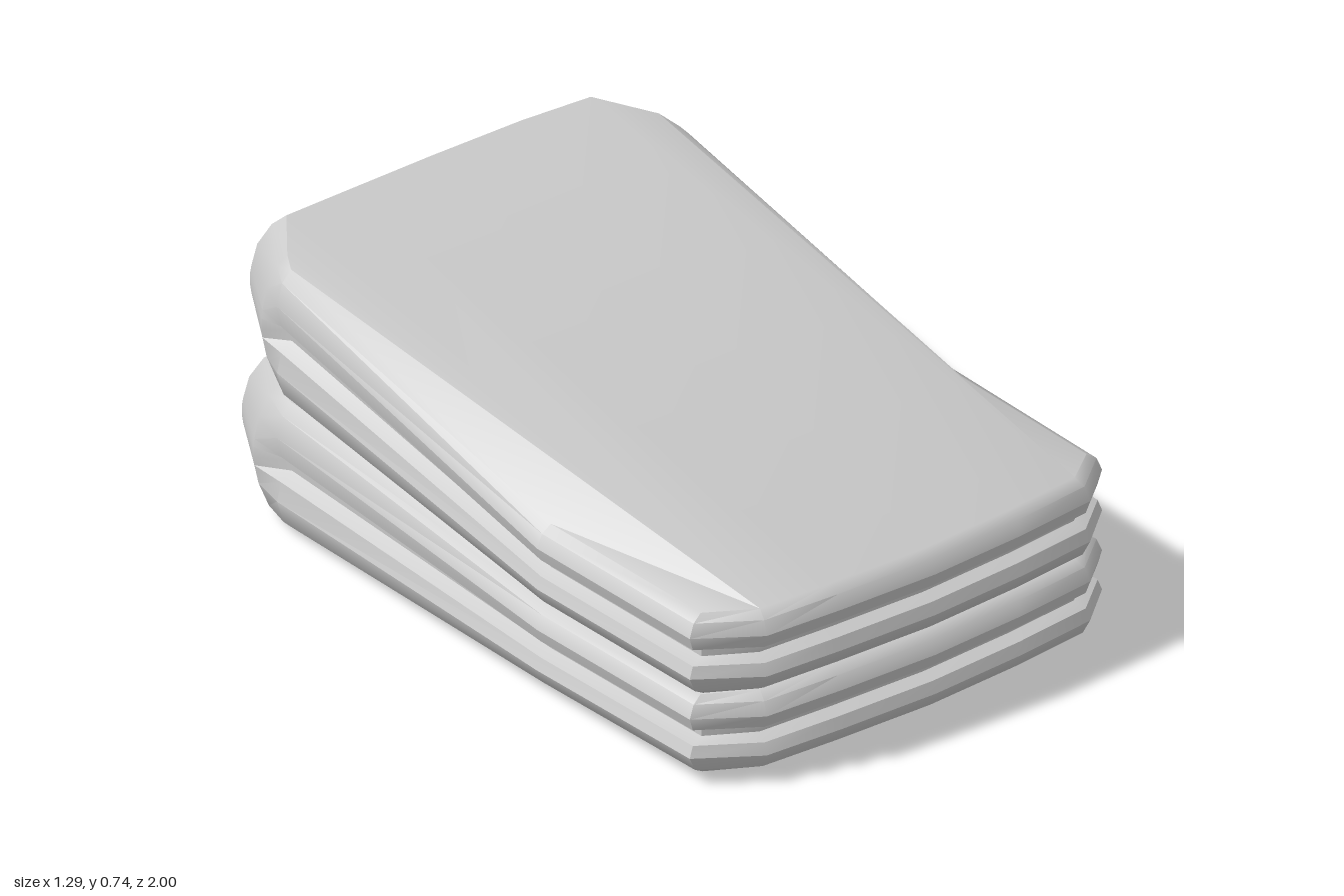
import * as THREE from 'three';
import { toCreasedNormals } from 'three/addons/utils/BufferGeometryUtils.js';

// Plan outline [x, z], each half running from front centre to back centre
const leftHalf = [[0, 1], [0.28, 0.985], [0.51, 0.96], [0.63, 0.86], [0.645, 0.3],
  [0.63, -0.66], [0.63, -0.77], [0.52, -0.955], [0.28, -0.995], [0, -1]];
const rightHalf = [[-0.28, 0.99], [-0.5, 0.975], [-0.65, 0.87], [-0.648, 0.3],
  [-0.62, -0.7], [-0.61, -0.8], [-0.5, -0.975], [-0.28, -0.998]];
const outline = [...leftHalf, ...rightHalf.reverse()];
const N = outline.length;
const half = N / 2;

// Edge profile: height fraction, inset where the two layers part, inset share at the rounded fold
const profile = [
  [0, 0.05, 1], [0.08, 0.02, 0.6], [0.26, 0, 0.2], [0.4, 0.012, 0.04], [0.46, 0.045, 0],
  [0.54, 0.045, 0], [0.6, 0.012, 0.04], [0.76, 0, 0.2], [0.92, 0.015, 0.6], [1, 0.042, 1],
];

const { clamp, lerp } = THREE.MathUtils;
const rise = (z) => clamp((0.3 - z) / 1.12, 0, 1);
const baseY = (z) => 0.025 * clamp((z + 0.9) / 1.85, 0, 1);
const middleY = (z) => lerp(0.237, 0.362, rise(z));
const topY = (z) => lerp(0.458, 0.74, rise(z));

// One folded cloth: two layers in front and at the sides, a single fold at the back
function foldedCloth(name, low, high, backShift, material) {
  const positions = [];
  const index = [];
  for (const [f, sideInset, foldShare] of profile) {
    outline.forEach(([x, z], i) => {
      const [ax, az] = outline[(i + N - 1) % N];
      const [bx, bz] = outline[(i + 1) % N];
      const length = Math.hypot(bx - ax, bz - az);
      const nx = -(bz - az) / length;
      const nz = (bx - ax) / length;
      const foldInset = foldShare * lerp(0.04, 0.1, Math.max(0, -nz));
      const inset = z < -0.75 ? foldInset : sideInset;
      const pz = z - nz * inset + (z < -0.75 ? backShift : 0);
      // the fold keeps a level seam around the back
      positions.push(x - nx * inset, lerp(low(pz), high(pz), f), pz);
    });
  }

  // rounded edge
  for (let j = 0; j < profile.length - 1; j++) {
    for (let i = 0; i < N; i++) {
      const a = j * N + i;
      const b = j * N + (i + 1) % N;
      index.push(a, b, b + N, a, b + N, a + N);
    }
  }

  // upper and lower faces: strips from front to back, with fans at the sides
  const cap = [];
  for (let k = -2; k < 2; k++) {
    const f0 = (k + N) % N;
    const f1 = (k + 1 + N) % N;
    cap.push([f0, f1, half - k - 1], [f0, half - k - 1, half - k]);
  }
  for (let i = 3; i < half - 2; i++) cap.push([2, i, i + 1]);
  for (let i = half + 2; i < N - 3; i++) cap.push([N - 2, i, i + 1]);
  const last = (profile.length - 1) * N;
  for (const [a, b, c] of cap) {
    index.push(last + a, last + b, last + c);
    index.push(a, c, b);
  }

  const geometry = new THREE.BufferGeometry();
  geometry.setAttribute('position', new THREE.Float32BufferAttribute(positions, 3));
  geometry.setIndex(index);
  const mesh = new THREE.Mesh(toCreasedNormals(geometry, 0.6), material);
  mesh.name = name;
  return mesh;
}

export function createModel() {
  const model = new THREE.Group();
  model.name = 'foldedClothStack';
  const material = new THREE.MeshStandardMaterial({ color: 0xcccccc });
  model.add(foldedCloth('lowerFoldedCloth', baseY, middleY, 0, material));
  model.add(foldedCloth('upperFoldedCloth', middleY, topY, 0.03, material));
  return model;
}
